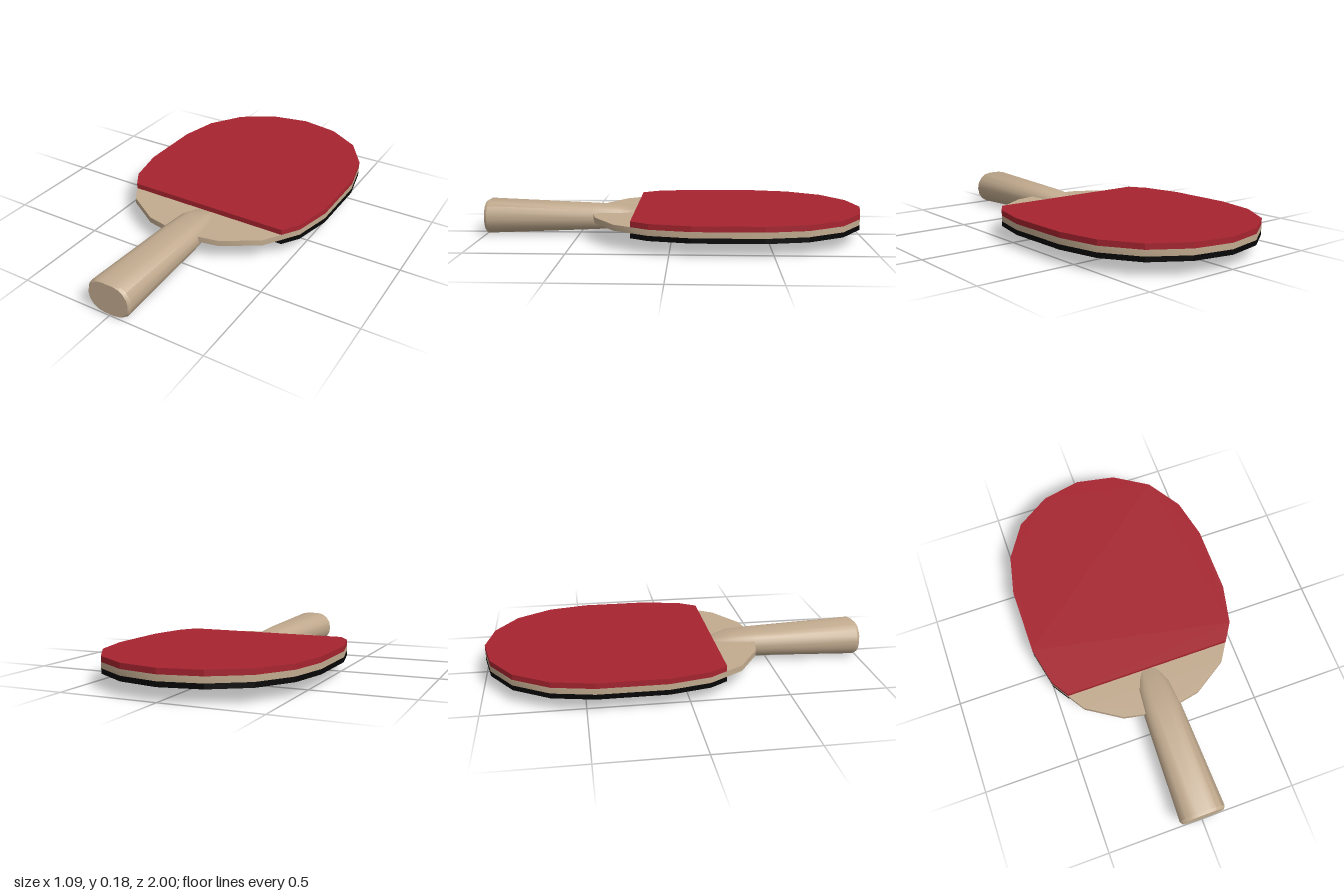
import * as THREE from 'three';
import { toCreasedNormals } from 'three/addons/utils/BufferGeometryUtils.js';

const material = (name, color) => {
  const m = new THREE.MeshStandardMaterial({ color });
  m.name = name;
  return m;
};

// Half outlines as [x, z], from the tip of the blade towards the handle
const upper = [[0, -1], [0.206, -0.96], [0.385, -0.845], [0.5, -0.665], [0.545, -0.455], [0.545, -0.105], [0.5, 0.1]];
const bladeHalf = [...upper, [0.385, 0.28], [0.206, 0.395], [0, 0.435]];
const rubberHalf = [...upper, [0.442, 0.19]];

// Mirror a half outline and extrude it between two heights
function slab(half, y0, y1) {
  const mirrored = half.filter(([x]) => x > 0).reverse().map(([x, z]) => [-x, z]);
  const points = [...half, ...mirrored].map(([x, z]) => new THREE.Vector2(x, -z));
  const g = new THREE.ExtrudeGeometry(new THREE.Shape(points), { depth: y1 - y0, bevelEnabled: false });
  return g.rotateX(-Math.PI / 2).translate(0, y0, 0);
}

// Loft rounded sections along z: [z, half width, half height]
function loft(rings, centreY) {
  const positions = [], index = [], n = 20;
  for (const [z, w, h] of rings) {
    const r = Math.min(w, h) * 0.97;
    for (let q = 0; q < 4; q++) {
      const sx = q === 0 || q === 3 ? 1 : -1, sy = q < 2 ? 1 : -1;
      for (let i = 0; i < 5; i++) {
        const a = (q + i / 4) * Math.PI / 2;
        positions.push(sx * (w - r) + r * Math.cos(a), centreY + sy * (h - r) + r * Math.sin(a), z);
      }
    }
  }
  for (let k = 0; k < rings.length - 1; k++) {
    for (let i = 0; i < n; i++) {
      const a = k * n + i, b = k * n + (i + 1) % n;
      index.push(a, b, b + n, a, b + n, a + n);
    }
  }
  // End caps
  const last = (rings.length - 1) * n;
  for (let i = 1; i < n - 1; i++) {
    index.push(0, i + 1, i);
    index.push(last, last + i, last + i + 1);
  }
  const g = new THREE.BufferGeometry();
  g.setAttribute('position', new THREE.Float32BufferAttribute(positions, 3));
  g.setIndex(index);
  return toCreasedNormals(g, 0.6);
}

export function createModel() {
  const wood = material('wood', 0xc2ab8f);
  const red = material('red rubber', 0xa6242f);
  const black = material('black rubber', 0x060606);

  const group = new THREE.Group();
  group.name = 'paddle';
  const add = (name, geometry, mat) => {
    const mesh = new THREE.Mesh(geometry, mat);
    mesh.name = name;
    group.add(mesh);
  };

  // Blade core with a rubber sheet on each face
  add('blade', toCreasedNormals(slab(bladeHalf, 0.095, 0.125), 0.7), wood);
  add('topRubber', slab(rubberHalf, 0.125, 0.153), red);
  add('bottomRubber', slab(rubberHalf, 0.07, 0.095), black);

  // Flared grip, tapering into the blade, with a chamfered butt
  add('handle', loft([
    [0.19, 0.057, 0.03],
    [0.29, 0.091, 0.059],
    [0.42, 0.102, 0.066],
    [0.985, 0.12, 0.091],
    [1, 0.11, 0.083],
  ], 0.094), wood);

  group.updateMatrixWorld(true);
  return group;
}
